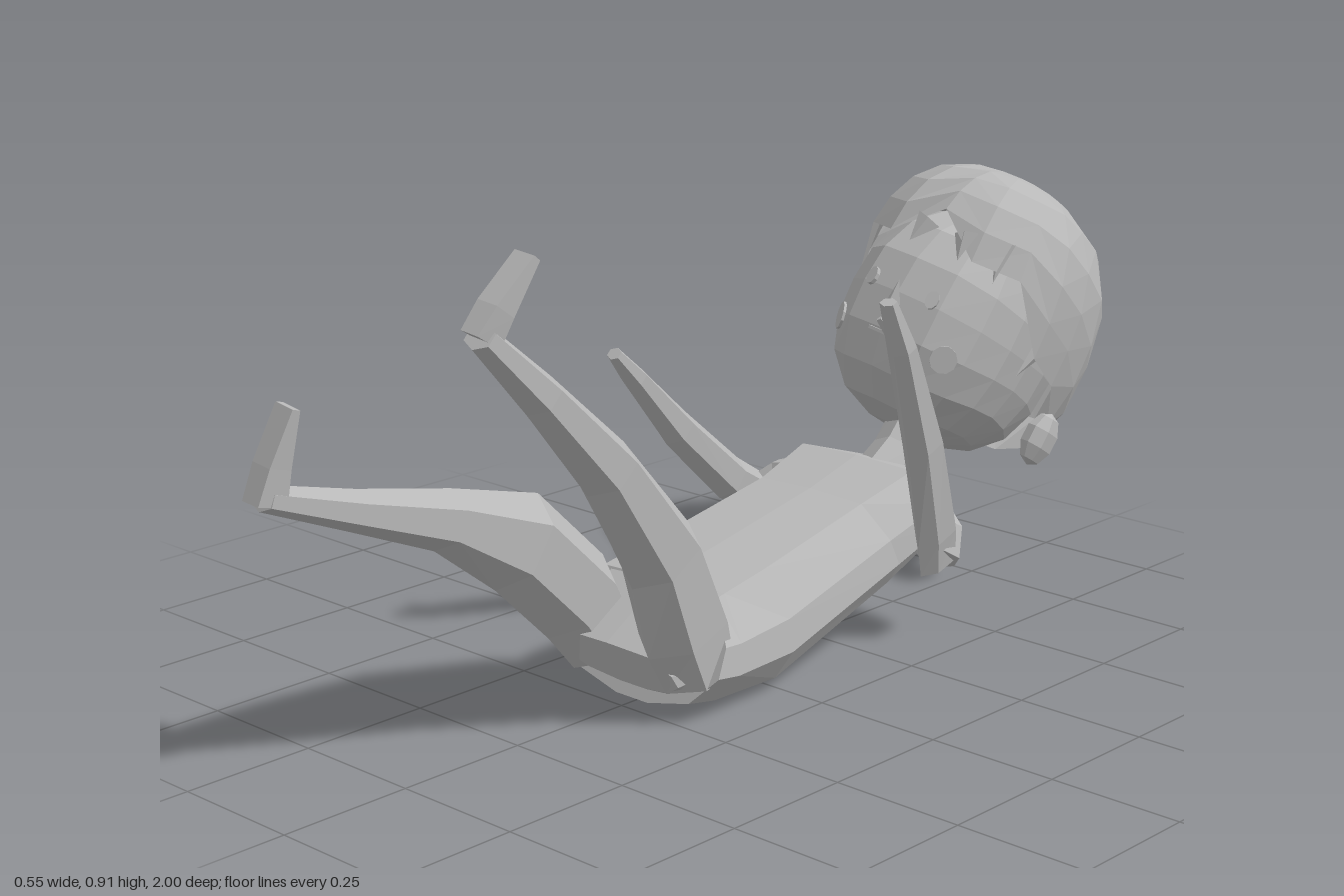
import * as THREE from 'three';

const grey = new THREE.MeshStandardMaterial({ color: 0xb8b8b8, flatShading: true, side: THREE.DoubleSide });
grey.name = 'plain grey';
const V = (x, y, z) => new THREE.Vector3(x, y, z);

function mesh(geometry, name, parent) {
  const m = new THREE.Mesh(geometry, grey);
  m.name = name;
  parent.add(m);
  return m;
}

// Skin a list of equal-length closed rings, optionally capping the ends.
function loft(rings, capped = true) {
  const n = rings[0].length, pos = [], idx = [];
  rings.forEach(r => r.forEach(p => pos.push(p.x, p.y, p.z)));
  for (let i = 0; i < rings.length - 1; i++) {
    for (let j = 0; j < n; j++) {
      const a = i * n + j, b = i * n + (j + 1) % n;
      idx.push(a, b, b + n, a, b + n, a + n);
    }
  }
  if (capped) {
    const last = (rings.length - 1) * n;
    for (let j = 1; j < n - 1; j++) {
      idx.push(0, j + 1, j, last, last + j, last + j + 1);
    }
  }
  const g = new THREE.BufferGeometry();
  g.setAttribute('position', new THREE.Float32BufferAttribute(pos, 3));
  g.setIndex(idx);
  const flat = g.toNonIndexed();
  flat.computeVertexNormals();
  return flat;
}

// Tapered limb through stations [x, y, z, half width, half depth].
function limb(stations, sides = 6) {
  const pts = stations.map(s => V(s[0], s[1], s[2]));
  return loft(stations.map((s, i) => {
    const t = pts[Math.min(i + 1, pts.length - 1)].clone().sub(pts[Math.max(i - 1, 0)]).normalize();
    const u = V(1, 0, 0).addScaledVector(t, -t.x).normalize();
    const v = t.clone().cross(u);
    return Array.from({ length: sides }, (_, j) => {
      const a = (j + 0.5) / sides * Math.PI * 2;
      return pts[i].clone().addScaledVector(u, Math.cos(a) * s[3] * 1.1).addScaledVector(v, Math.sin(a) * s[4] * 1.08);
    });
  }));
}

// Point on a rounded block in the direction given by polar angle and azimuth.
function blockPoint(theta, az, c, r, p) {
  const d = V(Math.sin(theta) * Math.sin(az), Math.cos(theta), Math.sin(theta) * Math.cos(az));
  const k = Math.pow(Math.abs(d.x / r.x) ** p + Math.abs(d.y / r.y) ** p + Math.abs(d.z / r.z) ** p, -1 / p);
  return d.multiplyScalar(k).add(c);
}

function blockShell(c, r, p, rows, cols, thetaMax) {
  const rings = [];
  for (let i = 0; i <= rows; i++) {
    rings.push(Array.from({ length: cols }, (_, j) => {
      const az = j / cols * Math.PI * 2;
      return blockPoint(Math.max(0.01, i / rows * thetaMax(az, j)), az, c, r, p);
    }));
  }
  // rings run from the top down, so reverse them for outward faces
  return loft(rings.reverse(), false);
}

function buildHead() {
  const head = new THREE.Group();
  head.name = 'head';
  head.position.set(-0.003, 0.565, -0.705);
  head.rotation.set(-0.53, 0.11, -0.15);

  const fc = V(0, -0.06, -0.01), fr = V(0.188, 0.222, 0.235), fp = 2.5;
  mesh(blockShell(fc, fr, fp, 10, 16, () => Math.PI - 0.01), 'face', head);

  // hair cap leaning forward at the crown: jagged in front, long at the nape
  const rad = Math.PI / 180;
  const hair = blockShell(V(-0.005, 0, -0.055), V(0.23, 0.264, 0.252), 2.5, 6, 16, (az, j) => {
    const back = (1 - Math.cos(az)) / 2;
    const jag = Math.cos(az) > 0.1 ? (j % 2 ? 8 : -4) : 0;
    return (66 + 76 * Math.pow(back, 0.85) + jag) * rad;
  });
  hair.applyMatrix4(new THREE.Matrix4().makeShear(0, 0, 0, 0.15, 0, 0));
  mesh(hair, 'hair', head);

  // place a feature on the face surface
  const onFace = (m, x, y, lift = 0) => {
    const dx = x - fc.x, dy = y - fc.y;
    const q = 1 - Math.abs(dx / fr.x) ** fp - Math.abs(dy / fr.y) ** fp;
    const z = fr.z * Math.pow(Math.max(q, 0), 1 / fp);
    const grad = (d, r) => Math.sign(d) * Math.abs(d / r) ** (fp - 1) / r;
    const n = V(grad(dx, fr.x), grad(dy, fr.y), grad(z, fr.z)).normalize();
    m.position.set(x, y, z + fc.z).addScaledVector(n, lift);
    m.quaternion.setFromUnitVectors(V(0, 0, 1), n);
    return m;
  };
  const disc = (r, h) => new THREE.CylinderGeometry(r, r, h, 10).rotateX(Math.PI / 2);

  for (const s of [-1, 1]) {
    const side = s > 0 ? 'left' : 'right';
    const eye = onFace(mesh(disc(0.015, 0.008), side + 'Eye', head), s * 0.072, -0.048);
    eye.scale.set(0.85, 1.2, 1);
    onFace(mesh(disc(0.027, 0.005), side + 'Cheek', head), s * 0.128, -0.138, -0.003);
    // ear
    const ear = mesh(new THREE.SphereGeometry(0.055, 7, 5), side + 'Ear', head);
    ear.scale.set(0.5, 1, 0.9);
    ear.position.set(s * 0.212, -0.17, -0.135);
    // pointed lock in front of the ear
    const lock = mesh(new THREE.ConeGeometry(0.05, 0.12, 4), side + 'Lock', head);
    lock.scale.set(0.3, 1, 0.8);
    lock.position.set(s * 0.2, -0.04, 0.01);
    lock.rotation.x = Math.PI - 0.4;
  }
  const nose = new THREE.ConeGeometry(0.016, 0.045, 4).rotateX(0.4);
  onFace(mesh(nose, 'nose', head), 0, -0.06, 0.005);
  onFace(mesh(new THREE.BoxGeometry(0.05, 0.006, 0.008), 'mouth', head), 0, -0.14);

  // fringe locks hanging over the forehead
  for (const [x, len, tilt] of [[-0.13, 0.08, 0.3], [-0.04, 0.055, 0.25], [0.06, 0.06, -0.25], [0.13, 0.08, -0.3]]) {
    const lock = mesh(new THREE.ConeGeometry(0.028, len, 4), 'fringeLock', head);
    lock.scale.z = 0.3;
    lock.position.set(x, 0.07, 0.2 - x * x * 2.6);
    lock.rotation.set(Math.PI - 0.1, x * 3, tilt);
  }
  return head;
}

export function createModel() {
  const model = new THREE.Group();
  model.name = 'lyingDoll';

  // outline of a section: [width fraction, height fraction]
  const section = [[1, 0.62], [1, 0.36], [0.7, 0.1], [0.2, 0], [-0.2, 0], [-0.7, 0.1],
    [-1, 0.36], [-1, 0.62], [-0.72, 0.97], [0, 1], [0.72, 0.97]];
  // stations: [bottom z, bottom y, top z, top y, half width, centre x]
  const trunk = stations => loft(stations.map(([bz, by, tz, ty, w, cx]) => section.map(([a, h]) =>
    V(cx + a * w + 0.025 * (1 - h) ** 2, by + (ty - by) * h, bz + (tz - bz) * h))));

  mesh(trunk([
    [0.25, 0.025, 0.15, 0.215, 0.19, 0],
    [0.18, 0.011, 0.13, 0.22, 0.19, 0],
    [0.01, 0.003, 0.02, 0.238, 0.183, 0],
    [-0.33, 0.1, -0.26, 0.287, 0.17, -0.008],
    [-0.45, 0.16, -0.4, 0.32, 0.188, -0.015],
    [-0.5, 0.22, -0.47, 0.3, 0.1, 0.005],
  ]), 'torso', model);
  mesh(trunk([
    [0.25, 0.05, 0.285, 0.13, 0.14, 0],
    [0.22, 0.035, 0.15, 0.213, 0.165, 0],
  ]), 'pelvis', model);

  mesh(limb([[0.01, 0.24, -0.41, 0.06, 0.055], [0.01, 0.31, -0.5, 0.05, 0.045],
    [0, 0.42, -0.62, 0.05, 0.045]]), 'neck', model);

  // short sleeves at the shoulders
  mesh(limb([[0.12, 0.235, -0.42, 0.05, 0.055], [0.18, 0.2, -0.405, 0.045, 0.05], [0.205, 0.165, -0.385, 0.028, 0.045]]), 'leftSleeve', model);
  mesh(limb([[-0.13, 0.24, -0.42, 0.05, 0.055], [-0.205, 0.225, -0.4, 0.04, 0.05], [-0.23, 0.21, -0.37, 0.028, 0.04]]), 'rightSleeve', model);

  // arms with a small thumb each
  mesh(limb([[0.195, 0.155, -0.39, 0.022, 0.048], [0.205, 0.22, -0.37, 0.028, 0.05], [0.23, 0.41, -0.295, 0.03, 0.042],
    [0.25, 0.61, -0.205, 0.025, 0.024], [0.25, 0.7, -0.165, 0.016, 0.012]]), 'leftArm', model);
  mesh(limb([[0.24, 0.62, -0.2, 0.01, 0.012], [0.22, 0.665, -0.18, 0.007, 0.008]], 5), 'leftThumb', model);
  mesh(limb([[-0.23, 0.21, -0.36, 0.03, 0.035], [-0.225, 0.26, -0.27, 0.035, 0.04], [-0.21, 0.395, -0.11, 0.033, 0.034],
    [-0.195, 0.52, 0.015, 0.025, 0.02], [-0.19, 0.575, 0.07, 0.014, 0.012]]), 'rightArm', model);
  mesh(limb([[-0.205, 0.51, 0.01, 0.01, 0.012], [-0.228, 0.555, 0.03, 0.007, 0.008]], 5), 'rightThumb', model);

  // legs bent upward, with wedge feet
  mesh(limb([[0.12, 0.085, 0.19, 0.066, 0.07], [0.122, 0.17, 0.22, 0.068, 0.085], [0.132, 0.32, 0.285, 0.062, 0.075],
    [0.155, 0.51, 0.435, 0.052, 0.052], [0.175, 0.67, 0.6, 0.04, 0.035], [0.185, 0.79, 0.73, 0.028, 0.022]]), 'leftLeg', model);
  mesh(limb([[0.185, 0.785, 0.728, 0.026, 0.036], [0.19, 0.83, 0.7, 0.03, 0.028], [0.198, 0.905, 0.64, 0.03, 0.01]], 4), 'leftFoot', model);
  mesh(limb([[-0.115, 0.085, 0.19, 0.066, 0.07], [-0.112, 0.18, 0.25, 0.068, 0.085], [-0.1, 0.32, 0.4, 0.066, 0.085],
    [-0.085, 0.405, 0.58, 0.053, 0.05], [-0.065, 0.475, 0.79, 0.038, 0.032], [-0.048, 0.54, 0.975, 0.026, 0.02]]), 'rightLeg', model);
  mesh(limb([[-0.046, 0.53, 0.972, 0.026, 0.038], [-0.042, 0.59, 0.958, 0.028, 0.028], [-0.03, 0.682, 0.932, 0.028, 0.01]], 4), 'rightFoot', model);

  model.add(buildHead());
  return model;
}
